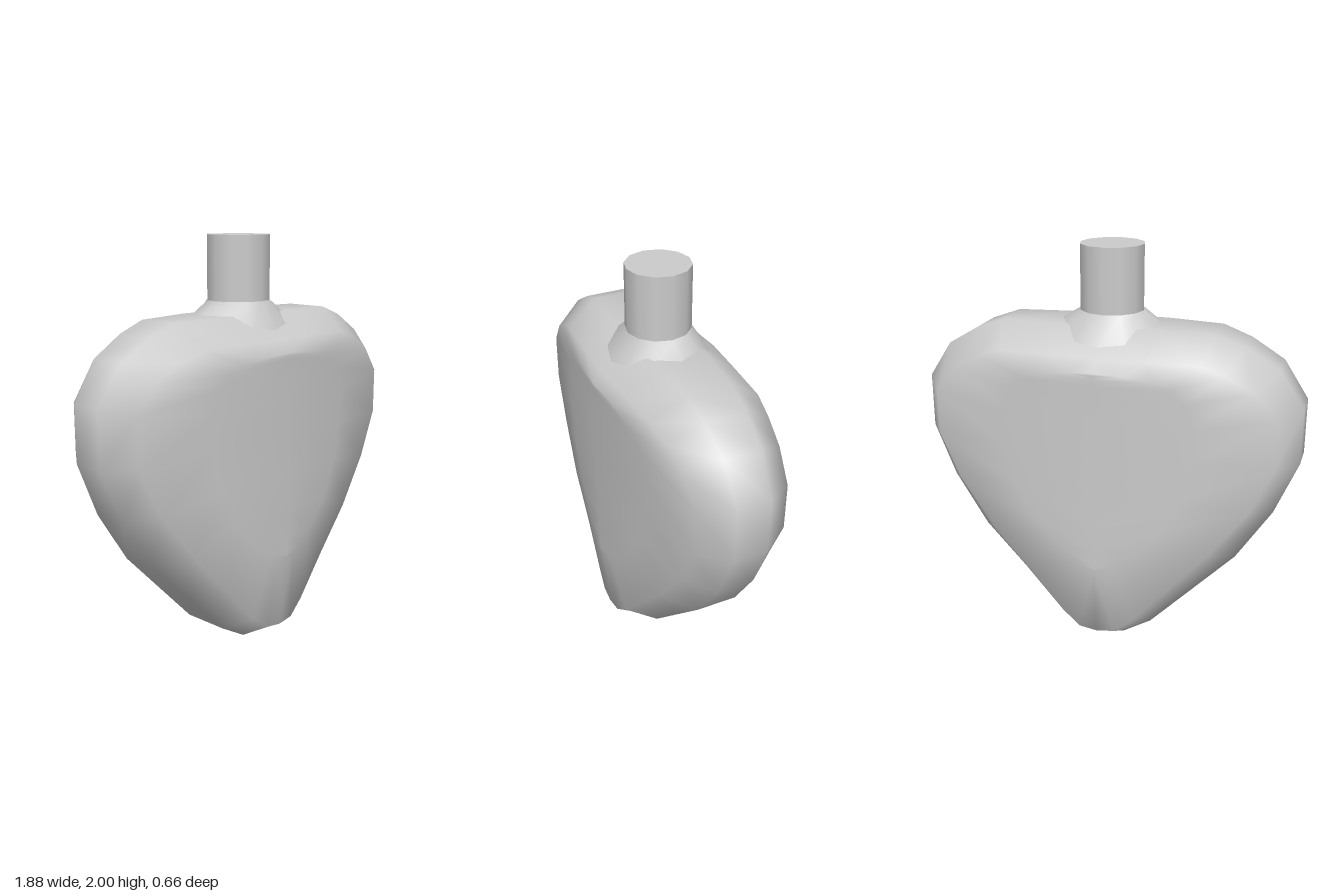
import * as THREE from 'three';
import { mergeVertices } from 'three/addons/utils/BufferGeometryUtils.js';

const material = new THREE.MeshStandardMaterial({ color: 0xcccccc });

// Half outlines of the heart, from bottom centre to top centre: [x, y, z]
const RIM = [[0, 0, .13], [.1, 0, .13], [.24, .08, .12], [.45, .295, .11], [.66, .51, .1], [.83, .77, .09],
  [.94, 1.03, .08], [.94, 1.3, .08], [.82, 1.48, .09], [.66, 1.575, .1], [.52, 1.625, .11], [.25, 1.63, .13], [0, 1.63, .13]];
const SHOULDER = [[0, .08, .29], [.09, .09, .285], [.18, .16, .275], [.36, .36, .26], [.55, .57, .25], [.73, .81, .23],
  [.84, 1.04, .22], [.84, 1.27, .22], [.73, 1.4, .235], [.6, 1.475, .25], [.48, 1.515, .265], [.24, 1.52, .28], [0, 1.52, .295]];
const FACE = [[0, .45, .33], [.05, .46, .325], [.1, .48, .32], [.2, .55, .31], [.32, .68, .3], [.42, .86, .285],
  [.46, 1.05, .28], [.46, 1.22, .28], [.42, 1.34, .285], [.35, 1.4, .295], [.27, 1.43, .305], [.14, 1.45, .315], [0, 1.46, .33]];

// Smooth surface through rows of points; optionally mirrored across x = 0
function loft(rows, mirror) {
  const pos = [];
  const tri = (a, b, c) => {
    pos.push(...a, ...b, ...c);
    if (mirror) for (const p of [a, c, b]) pos.push(-p[0], p[1], p[2]);
  };
  for (let r = 0; r < rows.length - 1; r++) {
    for (let i = 0; i < rows[r].length - 1; i++) {
      const a = rows[r][i], b = rows[r][i + 1], c = rows[r + 1][i + 1], d = rows[r + 1][i];
      tri(a, b, c);
      tri(a, c, d);
    }
  }
  let geometry = new THREE.BufferGeometry();
  geometry.setAttribute('position', new THREE.Float32BufferAttribute(pos, 3));
  geometry = mergeVertices(geometry, 1e-4);
  geometry.computeVertexNormals();
  return geometry;
}

export function createModel() {
  const group = new THREE.Group();
  const add = (name, geometry) => {
    const mesh = new THREE.Mesh(geometry, material);
    mesh.name = name;
    group.add(mesh);
    return mesh;
  };

  // Heart-shaped body: back ridge, round the rim, to the front ridge
  const ridge = FACE.map(([, y]) => [0, y, .33]);
  const front = [RIM, SHOULDER, FACE, ridge];
  const back = front.map(row => row.map(([x, y, z]) => [x, y, -z])).reverse();
  add('body', loft([...back, ...front], true));

  // Flared collar between the body and the neck
  const sides = 12, radius = .155;
  const ring = (r, y, drop) => Array.from({ length: sides + 1 }, (_, i) => {
    const a = (i % sides) / sides * Math.PI * 2;
    return [r * Math.sin(a), y - drop * Math.cos(a) ** 2, r * Math.cos(a)];
  });
  add('collar', loft([ring(radius, 1.69, 0), ring(.25, 1.63, .09)].reverse(), false).scale(1, 1, 1));
  // loft rows run bottom to top, so the faces are turned outward here
  const collar = group.getObjectByName('collar').geometry;
  const index = collar.index.array;
  for (let i = 0; i < index.length; i += 3) [index[i + 1], index[i + 2]] = [index[i + 2], index[i + 1]];
  collar.computeVertexNormals();
  const up = collar.attributes.normal.getY(0);
  if (up < 0) {
    for (let i = 0; i < index.length; i += 3) [index[i + 1], index[i + 2]] = [index[i + 2], index[i + 1]];
    collar.computeVertexNormals();
  }

  // Round neck with a flat closed top
  const neck = add('neck', new THREE.CylinderGeometry(radius, radius, .4, sides));
  neck.position.y = 1.8;

  return group;
}
